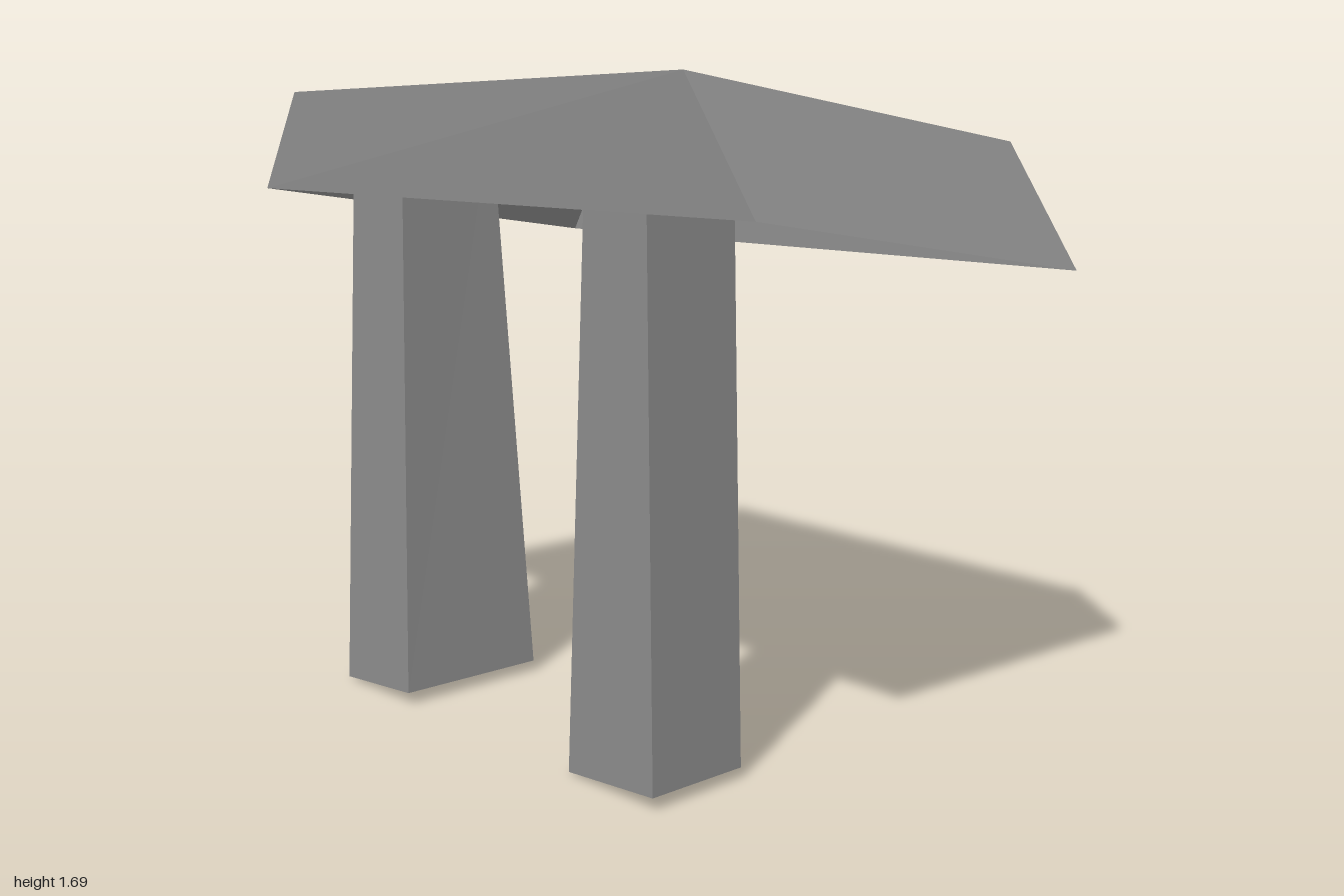
import * as THREE from 'three';

// Hollow tapered block: four corners below, four above, open underneath.
// Corner order: front right, front left, back left, back right (model's own sides).
function taperedShell(bottom, top, closedTop) {
  const faces = bottom.map((_, i) => {
    const j = (i + 1) % 4;
    return [bottom[i], bottom[j], top[j], top[i]];
  });
  if (closedTop) faces.push(top);
  const positions = [];
  for (const [a, b, c, d] of faces) positions.push(...a, ...b, ...c, ...a, ...c, ...d);
  const geometry = new THREE.BufferGeometry();
  geometry.setAttribute('position', new THREE.Float32BufferAttribute(positions, 3));
  geometry.computeVertexNormals();
  return geometry;
}

export function createModel() {
  const group = new THREE.Group();
  const grey = new THREE.MeshStandardMaterial({ color: 0x8c8c8c, side: THREE.DoubleSide, flatShading: true });
  grey.name = 'grey';

  const add = (name, bottom, top, closedTop) => {
    const mesh = new THREE.Mesh(taperedShell(bottom, top, closedTop), grey);
    mesh.name = name;
    group.add(mesh);
  };

  // Slanted slab, hollow underneath
  add('slab',
    [[-0.47, 1.39, 1.0], [0.645, 1.205, 0.89], [0.46, 1.18, -1.0], [-0.65, 1.36, -0.89]],
    [[-0.485, 1.69, 0.78], [0.63, 1.51, 0.675], [0.49, 1.445, -0.865], [-0.62, 1.625, -0.76]],
    true);

  // Tapered legs, open at the foot and reaching up into the slab
  add('frontLeg',
    [[-0.455, 0.035, 0.637], [-0.165, 0.03, 0.605], [-0.19, 0, 0.3], [-0.48, 0.005, 0.33]],
    [[-0.478, 1.62, 0.64], [-0.207, 1.5, 0.61], [-0.23, 1.46, 0.42], [-0.502, 1.6, 0.45]],
    false);
  add('backLeg',
    [[-0.56, 0.035, -0.318], [-0.135, 0.03, -0.355], [-0.16, 0, -0.652], [-0.585, 0.005, -0.612]],
    [[-0.527, 1.62, -0.338], [-0.24, 1.57, -0.37], [-0.26, 1.56, -0.588], [-0.547, 1.61, -0.555]],
    false);

  return group;
}
